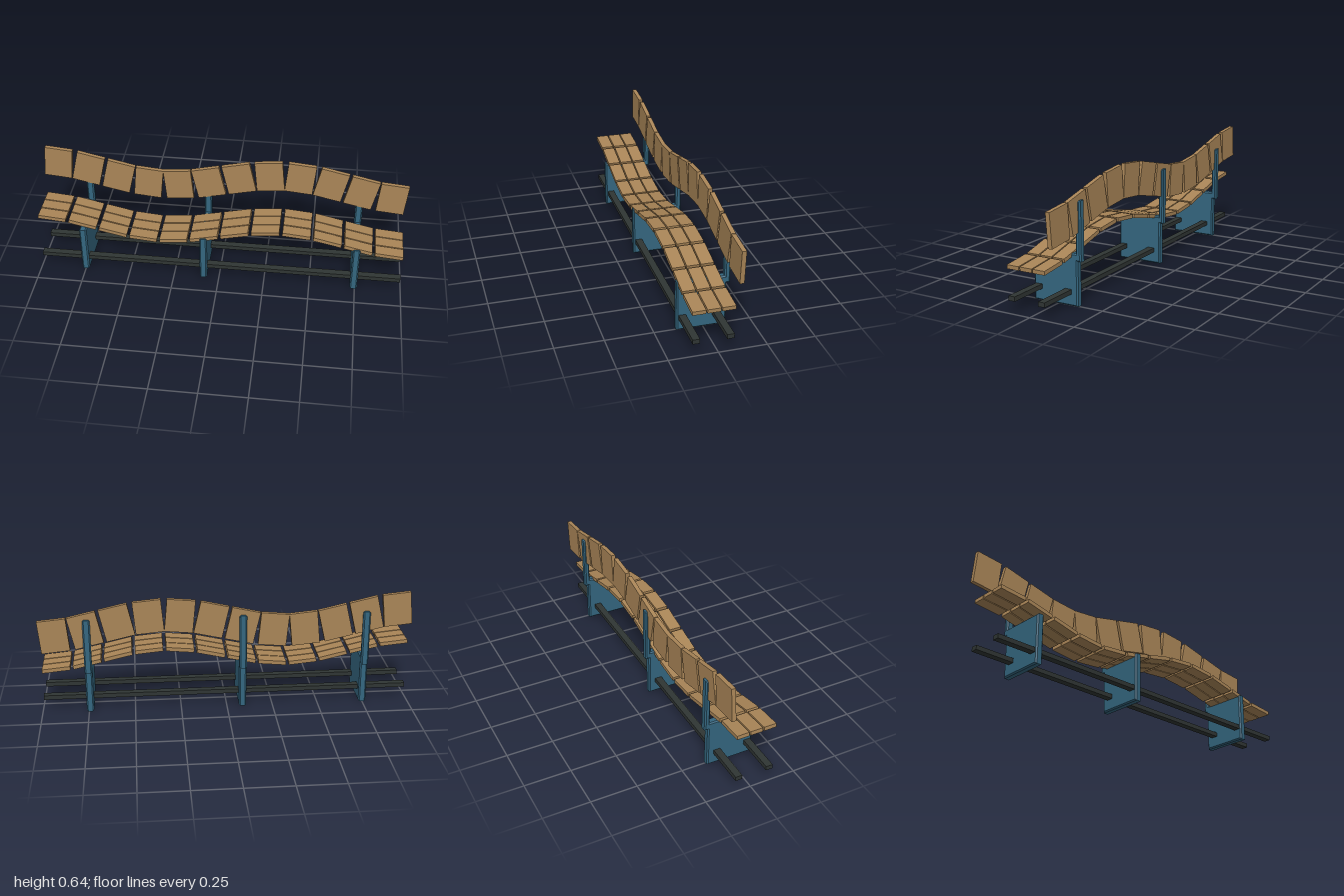
import * as THREE from 'three';

const wood = new THREE.MeshStandardMaterial({ name: 'wood', color: 0xa98557 });
const paint = new THREE.MeshStandardMaterial({ name: 'bluePaint', color: 0x34667f });
const iron = new THREE.MeshStandardMaterial({ name: 'darkIron', color: 0x2f3533 });

const SEGMENTS = 12;
const PITCH = 2 / SEGMENTS;
const GAP = 0.016;

// Wave followed by both the seat and the backrest
const wave = (x) => 0.054 * Math.cos(1.5 * Math.PI * (x - 1 / 3));

// A chain of straight boards laid end to end along the wave
function boardChain(name, y, z, height, depth) {
  const chain = new THREE.Group();
  chain.name = name;
  for (let i = 0; i < SEGMENTS; i++) {
    const x0 = -1 + i * PITCH;
    const y0 = wave(x0);
    const y1 = wave(x0 + PITCH);
    const length = Math.hypot(PITCH, y1 - y0) - GAP;
    const board = new THREE.Mesh(new THREE.BoxGeometry(length, height, depth), wood);
    board.name = name + 'Board';
    board.position.set(x0 + PITCH / 2, y + (y0 + y1) / 2, z);
    board.rotation.z = Math.atan2(y1 - y0, PITCH);
    chain.add(board);
  }
  return chain;
}

// Chamfered side plate with a back post, outlined in (z, y)
function supportGeometry() {
  const bevel = 0.007;
  const depth = 0.026;
  const outline = [
    [0.131, 0.007], [0.131, 0.263], [-0.115, 0.263], [-0.115, 0.528],
    [-0.13, 0.528], [-0.13, 0.237], [-0.111, 0.237], [-0.111, 0.007],
  ];
  const shape = new THREE.Shape(outline.map(([z, y]) => new THREE.Vector2(z, y)));
  const geometry = new THREE.ExtrudeGeometry(shape, {
    depth, bevelEnabled: true, bevelSize: bevel, bevelThickness: bevel, bevelSegments: 1,
  });
  geometry.translate(0, 0, -depth / 2);
  geometry.rotateY(-Math.PI / 2);
  return geometry;
}

export function createModel() {
  const bench = new THREE.Group();
  bench.name = 'wavyBench';

  // Three rows of seat slats
  for (const z of [0.097, 0.022, -0.052]) {
    bench.add(boardChain('seatSlat', 0.284, z, 0.021, 0.068));
  }

  // Backrest
  bench.add(boardChain('backrest', 0.493, -0.1135, 0.181, 0.023));

  // Supports
  const geometry = supportGeometry();
  for (const x of [-0.75, -0.086, 0.743]) {
    const support = new THREE.Mesh(geometry, paint);
    support.name = 'support';
    support.position.x = x;
    bench.add(support);
  }

  // Rails passing through the supports
  for (const z of [0.109, -0.064]) {
    const rail = new THREE.Mesh(new THREE.BoxGeometry(1.985, 0.024, 0.037), iron);
    rail.name = 'rail';
    rail.position.set(0, 0.074, z);
    bench.add(rail);
  }

  return bench;
}
